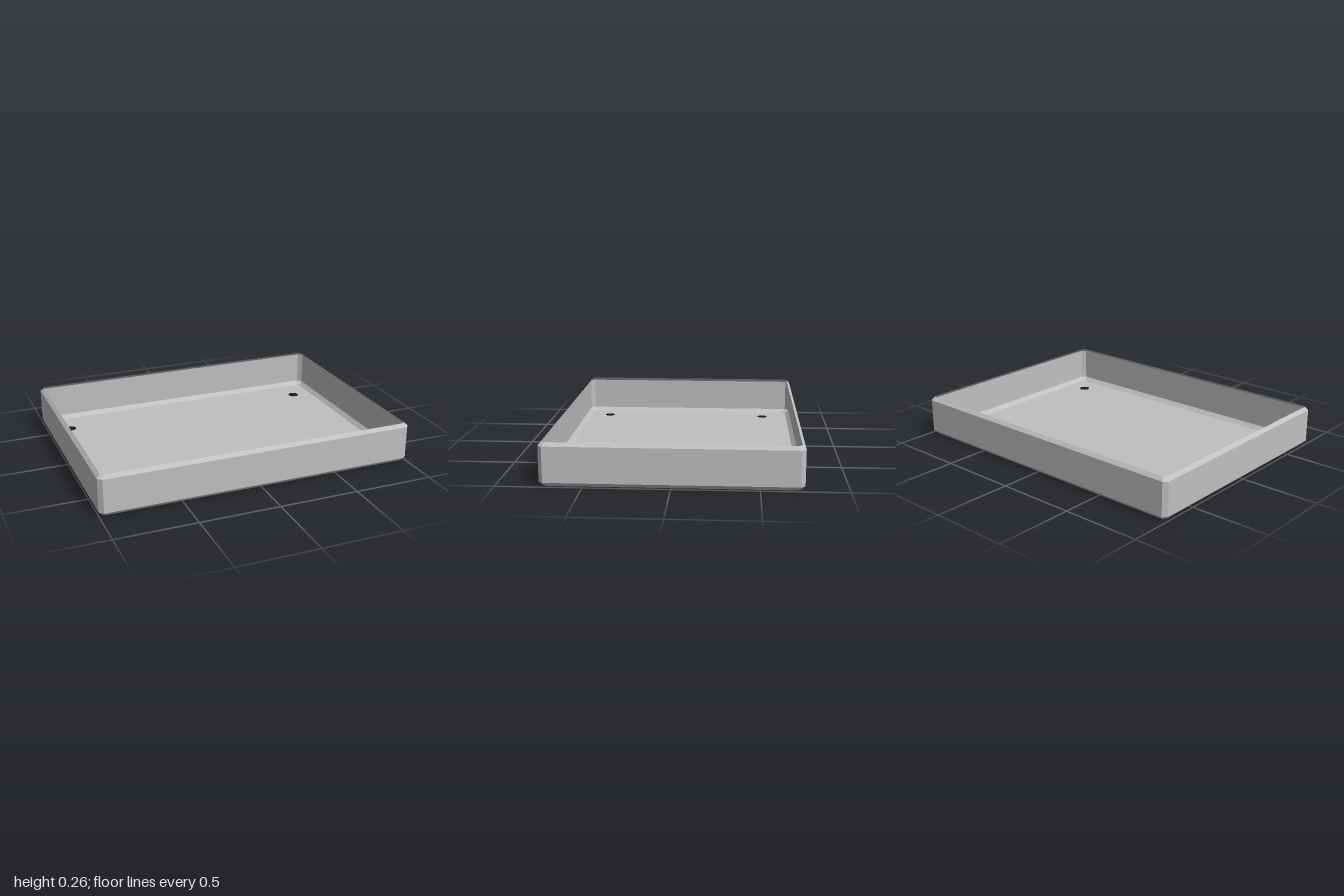
import * as THREE from 'three';

// Octagonal outline in plan: half width, half depth and corner cut
function outline(hw, hd, cut) {
  return [
    [hw, -hd + cut], [hw, hd - cut], [hw - cut, hd], [-hw + cut, hd],
    [-hw, hd - cut], [-hw, -hd + cut], [-hw + cut, -hd], [hw - cut, -hd],
  ];
}

// Flat-faced band joining two outlines at different heights
function band(low, yLow, high, yHigh) {
  const pos = [];
  low.forEach((a, i) => {
    const j = (i + 1) % low.length;
    const p = [a[0], yLow, a[1]];
    const q = [low[j][0], yLow, low[j][1]];
    const r = [high[j][0], yHigh, high[j][1]];
    const s = [high[i][0], yHigh, high[i][1]];
    pos.push(...p, ...r, ...q, ...p, ...s, ...r);
  });
  const g = new THREE.BufferGeometry();
  g.setAttribute('position', new THREE.Float32BufferAttribute(pos, 3));
  g.computeVertexNormals();
  return g;
}

export function createModel() {
  const group = new THREE.Group();
  group.name = 'tray';
  const grey = new THREE.MeshStandardMaterial({ color: 0xc0c0c0, side: THREE.DoubleSide });
  grey.name = 'grey';
  const add = (name, geometry) => {
    const mesh = new THREE.Mesh(geometry, grey);
    mesh.name = name;
    group.add(mesh);
  };

  const base = outline(0.975, 0.725, 0.018);
  const wall = outline(1, 0.75, 0.025);
  const rim = outline(0.979, 0.729, 0.02);

  // Floor with four mounting holes
  const floor = new THREE.Shape(base.map(([x, z]) => new THREE.Vector2(x, z)));
  for (const x of [-0.845, 0.845]) {
    for (const z of [-0.55, 0.59]) {
      const hole = new THREE.Path();
      hole.absarc(x, z, 0.035, 0, Math.PI * 2, true);
      floor.holes.push(hole);
    }
  }
  add('floor', new THREE.ShapeGeometry(floor, 24).rotateX(Math.PI / 2));

  // Thin sides: lower bevel, upright walls, inward-leaning rim
  add('lowerBevel', band(base, 0, wall, 0.025));
  add('walls', band(wall, 0.025, wall, 0.236));
  add('rim', band(wall, 0.236, rim, 0.257));

  return group;
}
